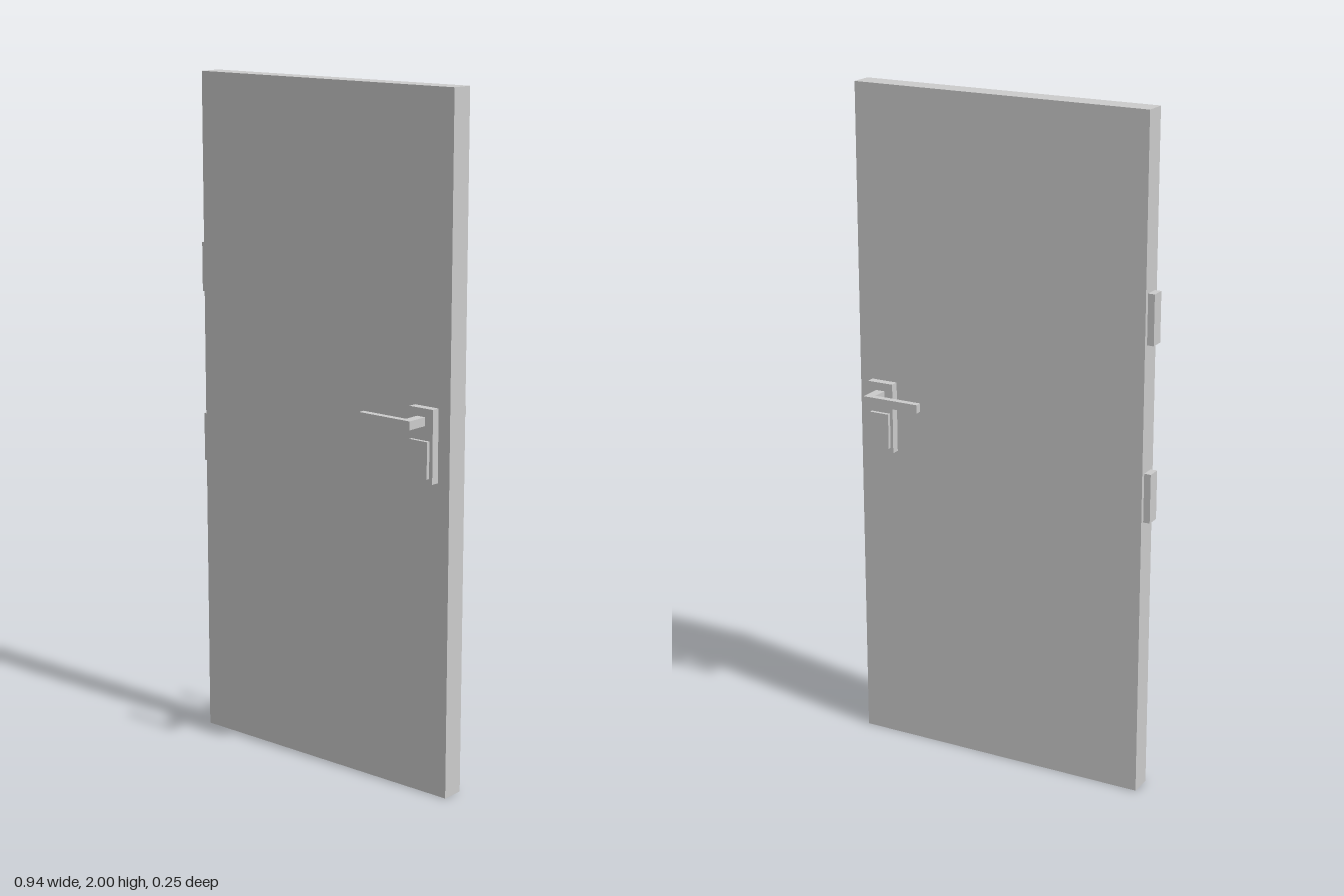
import * as THREE from 'three';

const material = new THREE.MeshStandardMaterial({ color: 0xcccccc });

// Box given by its lower and upper limits on each axis
function box(name, [x0, x1], [y0, y1], [z0, z1]) {
  const mesh = new THREE.Mesh(new THREE.BoxGeometry(x1 - x0, y1 - y0, z1 - z0), material);
  mesh.name = name;
  mesh.position.set((x0 + x1) / 2, (y0 + y1) / 2, (z0 + z1) / 2);
  return mesh;
}

// L-shaped lever: a neck leaving the door and an arm along it, drawn in plan (x, z)
function lever(name, side) {
  const plan = [[0.372, 0.055], [0.4, 0.055], [0.4, 0.127], [0.222, 0.127], [0.222, 0.107], [0.372, 0.107]];
  const shape = new THREE.Shape(plan.map(([x, z]) => new THREE.Vector2(x, -z * side)));
  const geometry = new THREE.ExtrudeGeometry(shape, { depth: 0.025, bevelEnabled: false });
  geometry.rotateX(-Math.PI / 2);
  const mesh = new THREE.Mesh(geometry, material);
  mesh.name = name;
  mesh.position.y = 1.08;
  return mesh;
}

export function createModel() {
  const model = new THREE.Group();
  model.name = 'door';

  model.add(box('doorLeaf', [-0.45, 0.467], [0, 2], [-0.034, 0.034]));

  // Hinges on the right edge
  model.add(box('upperHinge', [-0.47, -0.448], [1.352, 1.498], [-0.021, 0.021]));
  model.add(box('lowerHinge', [-0.47, -0.448], [0.835, 0.98], [-0.021, 0.021]));

  // Matching lock and lever on both faces
  for (const side of [1, -1]) {
    const depth = (a, b) => (side > 0 ? [a, b] : [-b, -a]);
    const lock = new THREE.Group();
    lock.name = side > 0 ? 'frontLock' : 'backLock';
    lock.add(box('backPlate', [0.345, 0.427], [0.918, 1.129], depth(0.032, 0.059)));
    lock.add(box('lockCover', [0.354, 0.416], [0.933, 1.039], depth(0.055, 0.07)));
    lock.add(lever('leverHandle', side));
    model.add(lock);
  }
  return model;
}
